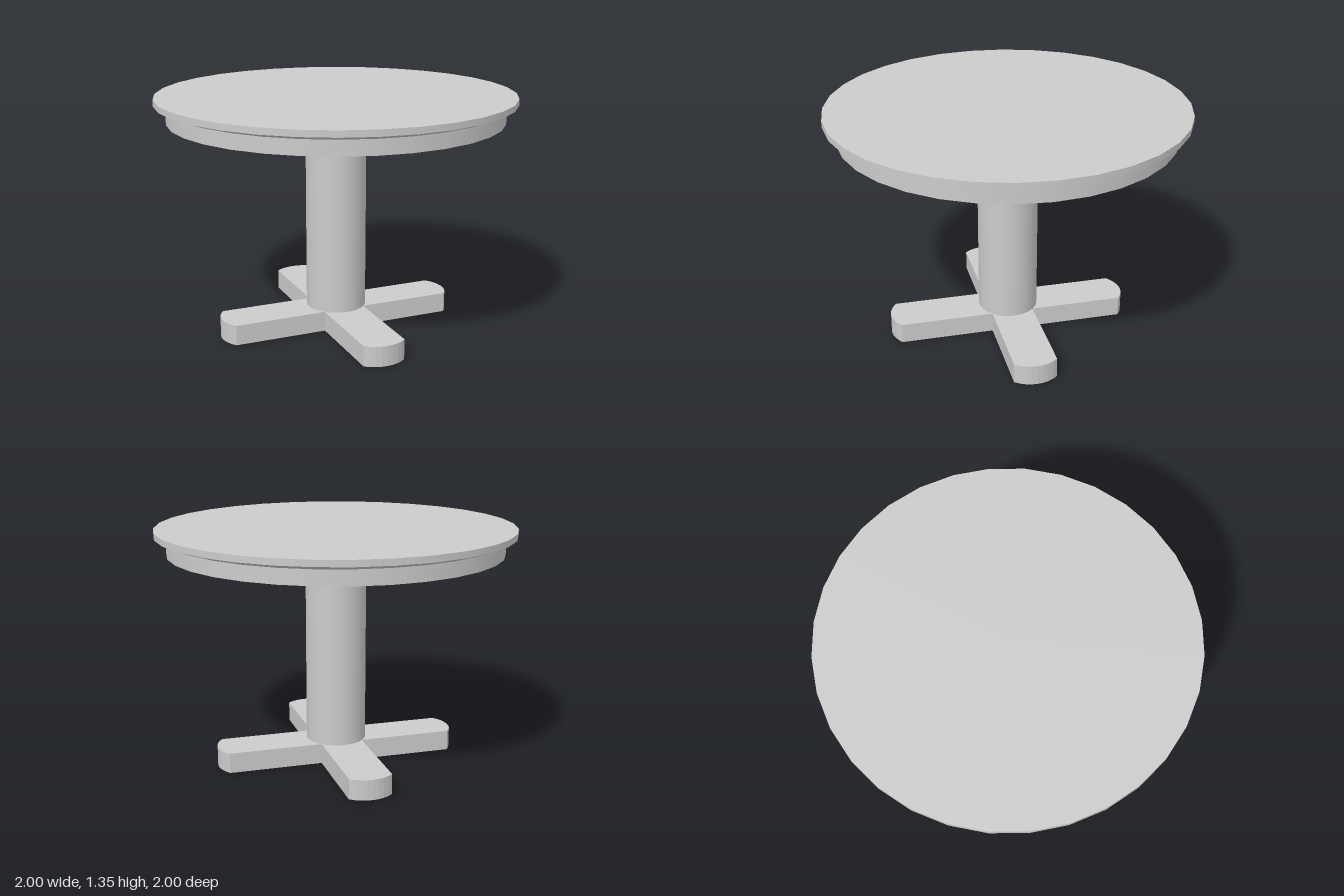
import * as THREE from 'three';

const material = new THREE.MeshStandardMaterial({ color: 0xcccccc });

export function createModel() {
  const table = new THREE.Group();
  table.name = 'pedestalTable';

  const add = (name, geometry) => {
    const mesh = new THREE.Mesh(geometry, material);
    mesh.name = name;
    table.add(mesh);
  };

  // Round part between two heights
  const round = (name, rTop, rBottom, y0, y1, open = false) =>
    add(name, new THREE.CylinderGeometry(rTop, rBottom, y1 - y0, 32, 1, open).translate(0, (y0 + y1) / 2, 0));

  // Table top: straight rim, undercut bevel and recessed apron
  round('topRim', 1, 1, 1.31, 1.345);
  round('topBevel', 1, 0.935, 1.287, 1.31, true);
  round('apron', 0.935, 0.935, 1.205, 1.287);

  // Central column
  round('column', 0.17, 0.17, 0.11, 1.21);

  // Cross-shaped foot with four bowed ends
  const half = 0.12, reach = 0.65, bow = 0.045;
  const radius = (half * half + bow * bow) / (2 * bow);
  const spread = Math.asin(half / radius);
  const centre = reach + bow - radius;
  const outline = [];
  for (let arm = 0; arm < 4; arm++) {
    const turn = (arm * Math.PI) / 2;
    const put = (x, y) => outline.push(new THREE.Vector2(x, y).rotateAround(new THREE.Vector2(), turn));
    put(half, -half);
    for (let i = 0; i <= 8; i++) {
      const a = spread * (i / 4 - 1);
      put(centre + radius * Math.cos(a), radius * Math.sin(a));
    }
  }
  const foot = new THREE.ExtrudeGeometry(new THREE.Shape(outline), { depth: 0.115, bevelEnabled: false });
  add('crossFoot', foot.rotateX(-Math.PI / 2));

  return table;
}
